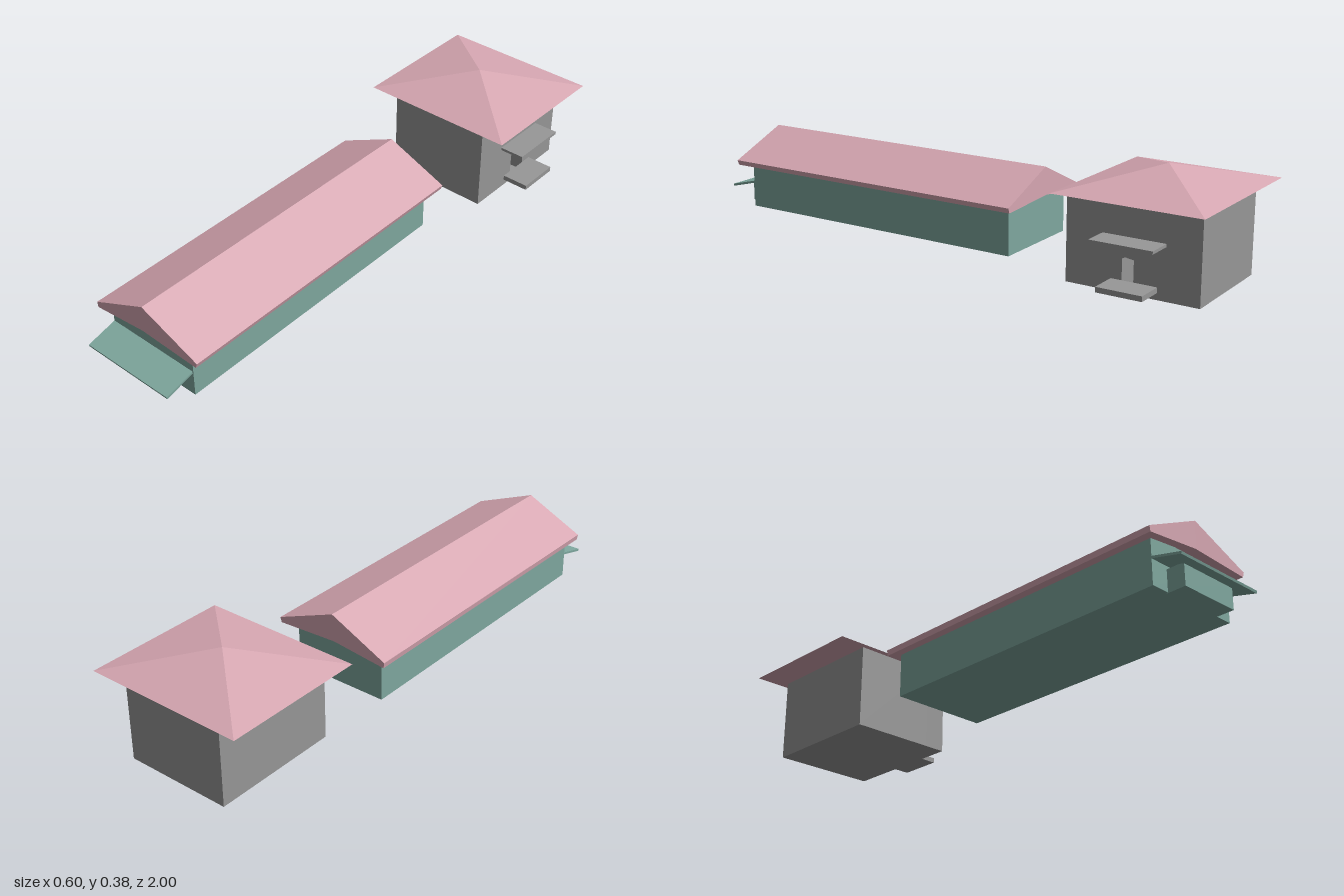
import * as THREE from 'three';

const material = (name, color) => {
  const m = new THREE.MeshStandardMaterial({ color });
  m.name = name;
  m.flatShading = true;
  return m;
};

const polygon = (points) => new THREE.Shape(points.map(([x, y]) => new THREE.Vector2(x, y)));

export function createModel() {
  const group = new THREE.Group();
  const pink = material('roof pink', 0xd8a8b3);
  const teal = material('wall teal', 0x80a9a0);
  const gray = material('stone gray', 0x989898);

  const add = (name, geometry, mat) => {
    const mesh = new THREE.Mesh(geometry, mat);
    mesh.name = name;
    group.add(mesh);
    return mesh;
  };
  // Box given by its limits on each axis
  const box = (name, mat, [x0, x1], [y0, y1], [z0, z1]) =>
    add(name, new THREE.BoxGeometry(x1 - x0, y1 - y0, z1 - z0)
      .translate((x0 + x1) / 2, (y0 + y1) / 2, (z0 + z1) / 2), mat);
  // Outline drawn in (-z, y), extruded along x from x0 to x1
  const sideExtrude = (name, mat, shape, x0, x1) =>
    add(name, new THREE.ExtrudeGeometry(shape, { depth: x1 - x0, bevelEnabled: false })
      .rotateY(Math.PI / 2).translate(x0, 0, 0), mat);

  // Long hall with a gabled roof
  box('hallWalls', teal, [-0.22, 0.139], [0.022, 0.19], [-0.238, 0.89]);
  const gable = polygon([
    [-0.254, 0.174], [-0.045, 0.197], [0.187, 0.186],
    [0.193, 0.204], [-0.038, 0.297], [-0.257, 0.194],
  ]);
  add('hallRoof', new THREE.ExtrudeGeometry(gable, { depth: 1.19, bevelEnabled: false })
    .translate(0, 0, -0.271), pink);

  // Porch and its sloping canopy
  box('porch', teal, [-0.153, 0.073], [0.02, 0.098], [0.885, 0.955]);
  sideExtrude('porchCanopy', teal, polygon([
    [-1, 0.09], [-0.998, 0.082], [-0.885, 0.111], [-0.885, 0.119],
  ]), -0.22, 0.136);

  // Square tower: solid core plus a side wall with a doorway
  box('towerCore', gray, [-0.193, 0.118], [0, 0.302], [-0.956, -0.491]);
  const wall = polygon([[0.491, 0], [0.956, 0], [0.956, 0.302], [0.491, 0.302]]);
  wall.holes.push(polygon([
    [0.69, 0.006], [0.69, 0.112], [0.7, 0.117], [0.765, 0.108], [0.77, 0.006],
  ]));
  sideExtrude('towerDoorWall', gray, wall, 0.118, 0.198);

  // Step and awning by the doorway
  box('doorStep', gray, [0.198, 0.298], [0.023, 0.041], [-0.812, -0.652]);
  box('doorAwning', gray, [0.198, 0.29], [0.174, 0.184], [-0.838, -0.62]);

  // Hipped tower roof, floating just above the walls
  add('towerRoof', new THREE.ConeGeometry(Math.SQRT1_2, 1, 4)
    .rotateY(Math.PI / 4).scale(0.588, 0.073, 0.52)
    .translate(-0.004, 0.3445, -0.74), pink);

  return group;
}
